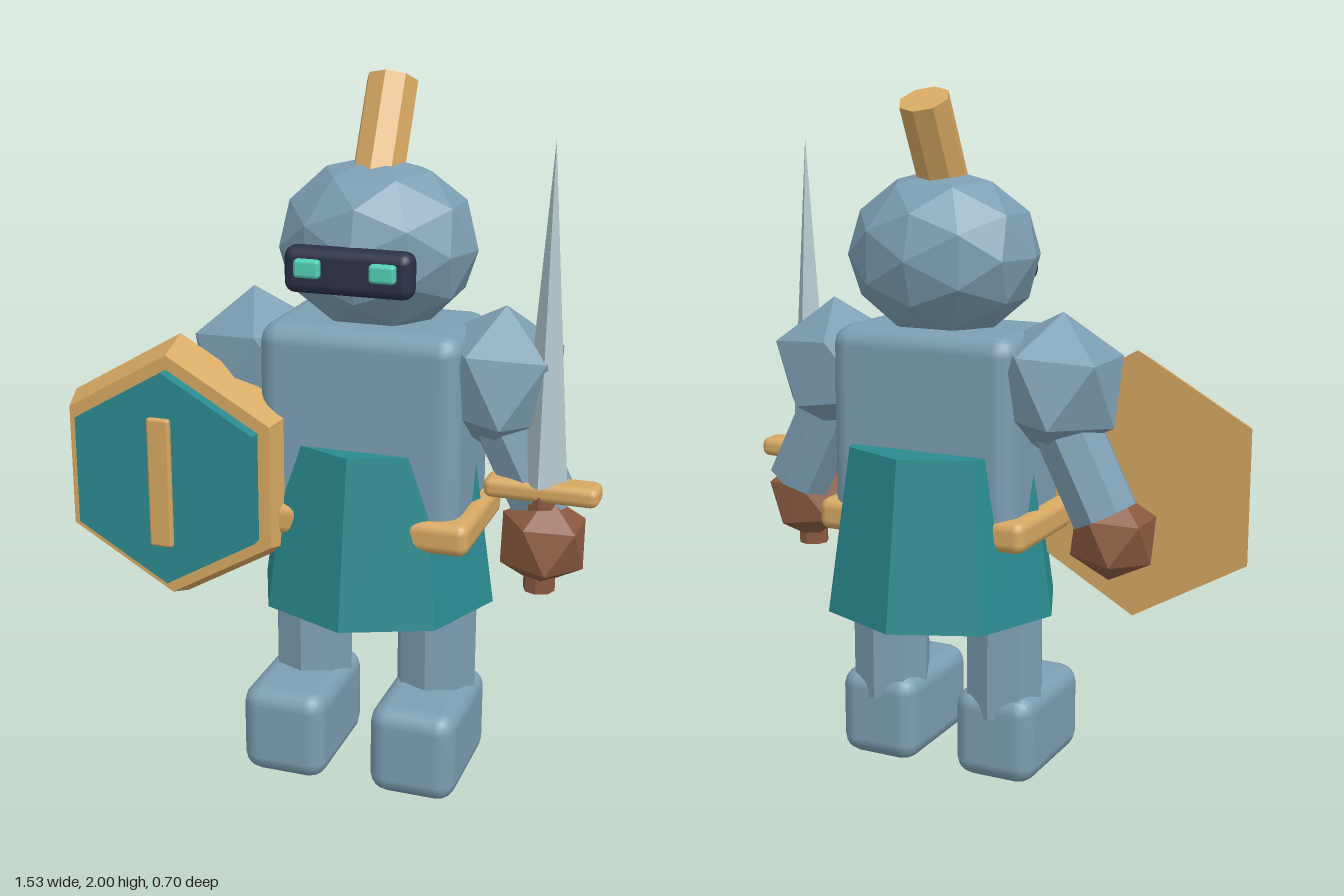
import * as THREE from 'three';
import { RoundedBoxGeometry } from 'three/addons/geometries/RoundedBoxGeometry.js';

const material = (name, color) => {
  const m = new THREE.MeshStandardMaterial({ color });
  m.name = name;
  return m;
};

export function createModel() {
  const steel = material('steel blue', 0x7c9eb2);
  const gold = material('gold', 0xd6a862);
  const teal = material('teal cloth', 0x2a8a8f);
  const dark = material('dark visor', 0x2b3047);
  const glow = material('eye green', 0x52cfb2);
  const leather = material('brown leather', 0x8a5a40);
  const silver = material('blade silver', 0xb4c8cd);

  const model = new THREE.Group();
  model.name = 'knight';
  const CX = 0.105; // the body stands left of centre, balancing the shield

  const add = (name, geometry, mat, x, y, z, parent = model) => {
    const mesh = new THREE.Mesh(geometry, mat);
    mesh.name = name;
    mesh.position.set(x, y, z);
    parent.add(mesh);
    return mesh;
  };
  // Faceted normals
  const flat = (geometry) => {
    const g = geometry.index ? geometry.toNonIndexed() : geometry;
    g.computeVertexNormals();
    return g;
  };
  const prism = (rTop, rBottom, height, sides = 8) =>
    flat(new THREE.CylinderGeometry(rTop, rBottom, height, sides));
  const ball = (radius, detail = 0) => flat(new THREE.IcosahedronGeometry(radius, detail));
  const softBox = (w, h, d, r) => new RoundedBoxGeometry(w, h, d, 2, r);

  // Torso, skirt and belt
  add('torso', softBox(0.58, 0.62, 0.375, 0.06), steel, CX, 1.03, 0.028);
  add('skirt', prism(0.28, 0.35, 0.485), teal, CX, 0.757, 0);
  add('belt', softBox(0.66, 0.095, 0.405, 0.03), gold, CX, 0.778, 0.037);

  // Helmet with visor, eyes and plume
  const helmet = add('helmet', ball(1, 1), steel, CX, 1.54, 0.015);
  helmet.scale.set(0.285, 0.243, 0.245);
  add('visor', softBox(0.357, 0.127, 0.075, 0.03), dark, CX, 1.51, 0.253);
  const plume = add('plume', prism(0.073, 0.073, 0.34), gold, CX, 1.82, -0.026);
  plume.rotation.x = -0.47;

  for (const side of [-1, 1]) {
    const label = side > 0 ? 'left' : 'right';
    const px = (offset) => CX + side * offset;
    add(label + 'Eye', softBox(0.072, 0.05, 0.04, 0.01), glow, px(0.104), 1.52, 0.291);

    // Leg and boot
    add(label + 'Leg', prism(0.118, 0.118, 0.4), steel, px(0.19), 0.4, 0.024);
    add(label + 'Boot', softBox(0.253, 0.27, 0.39, 0.055), steel, px(0.193), 0.135, 0.11);

    // Arm, spread outward
    const tilt = side * 0.46;
    add(label + 'Shoulder', ball(0.207), steel, px(0.35), 1.19, 0.018).rotation.z = tilt;
    add(label + 'Forearm', prism(0.1, 0.1, 0.36), steel, px(0.422), 0.99, 0.02).rotation.z = tilt;
    add(label + 'Hand', ball(0.135), leather, px(0.505), 0.755, 0.078).rotation.z = tilt;
  }

  // Sword held upright in the left hand
  const sword = new THREE.Group();
  sword.name = 'sword';
  sword.position.set(0.605, 0, 0.083);
  model.add(sword);
  add('blade', flat(new THREE.ConeGeometry(0.067, 0.93, 4)), silver, 0, 1.39, 0, sword);
  add('guard', softBox(0.32, 0.058, 0.09, 0.022), gold, 0, 0.905, 0, sword);
  add('grip', prism(0.045, 0.045, 0.3), leather, 0, 0.76, 0, sword);

  // Six-sided shield on the right arm
  const shield = new THREE.Group();
  shield.name = 'shield';
  shield.position.set(-0.428, 0.885, 0);
  model.add(shield);
  const plate = (name, rFront, rBack, depth, mat, z) => {
    const g = new THREE.CylinderGeometry(rFront, rBack, depth, 6);
    g.rotateX(Math.PI / 2);
    g.rotateZ(Math.PI); // a corner points up
    return add(name, flat(g), mat, 0, 0, z, shield);
  };
  plate('shieldRim', 0.355, 0.393, 0.106, gold, 0.223);
  plate('shieldFace', 0.314, 0.314, 0.04, teal, 0.293);
  add('shieldBar', softBox(0.07, 0.38, 0.022, 0.009), gold, 0, 0, 0.335, shield);

  return model;
}
